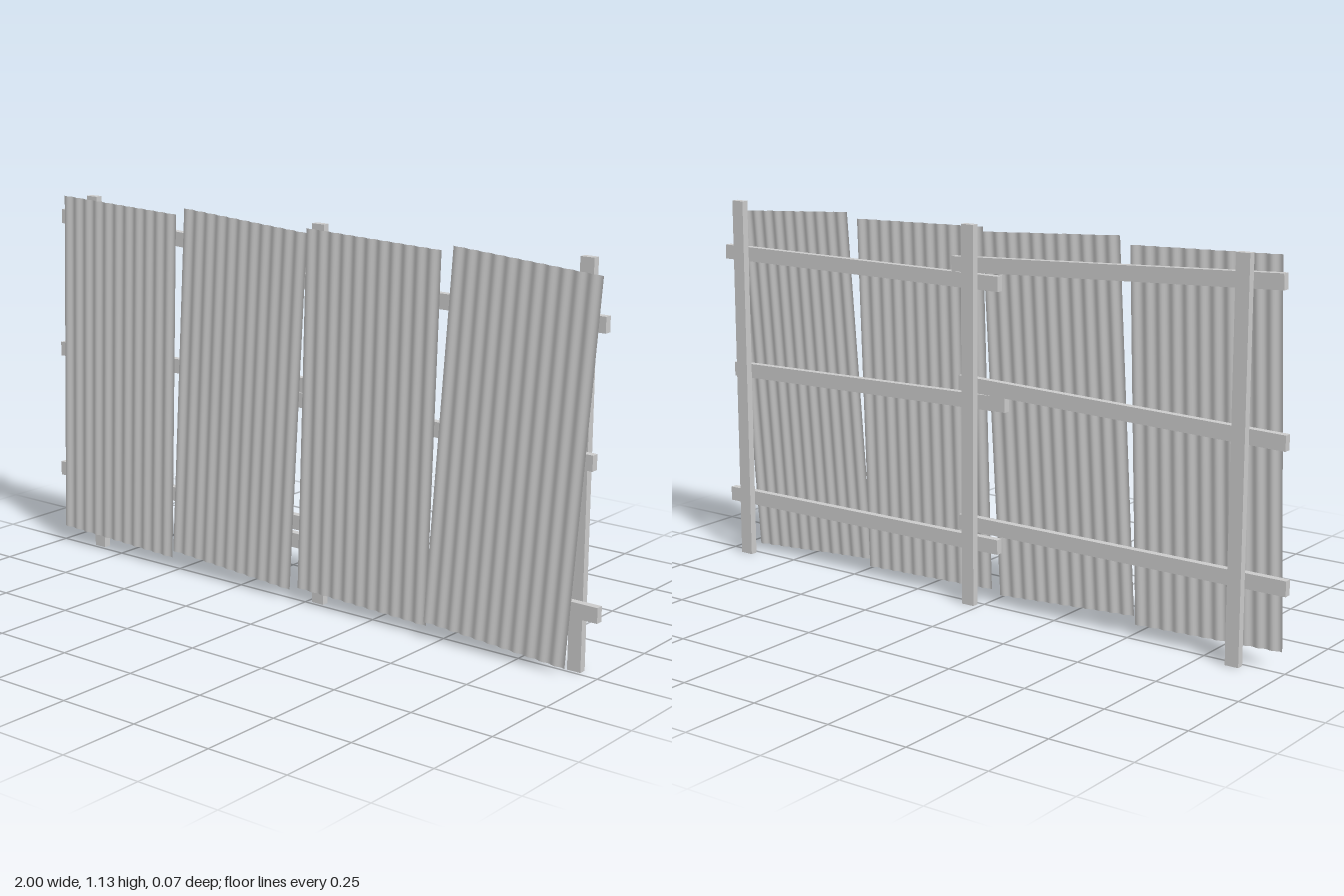
import * as THREE from 'three';

const material = new THREE.MeshStandardMaterial({ color: 0xcccccc });
const sheetMaterial = new THREE.MeshStandardMaterial({ color: 0xcccccc, side: THREE.DoubleSide });

// Upright timber post standing behind the rails
function makePost(x) {
  const post = new THREE.Mesh(new THREE.BoxGeometry(0.042, 1.13, 0.022), material);
  post.position.set(x, 0.565, -0.022);
  post.name = 'post';
  return post;
}

// Horizontal rail running between two end centres
function makeRail([x0, y0, x1, y1]) {
  const length = Math.hypot(x1 - x0, y1 - y0);
  const rail = new THREE.Mesh(new THREE.BoxGeometry(length, 0.044, 0.022), material);
  rail.position.set((x0 + x1) / 2, (y0 + y1) / 2, 0);
  rail.rotation.z = Math.atan2(y1 - y0, x1 - x0);
  rail.name = 'rail';
  return rail;
}

// Corrugated sheet: a plane displaced by a sine wave across its width
function makeSheetGeometry(width, height, waves, amplitude) {
  const geometry = new THREE.PlaneGeometry(width, height, waves * 8, 1);
  const position = geometry.attributes.position;
  for (let i = 0; i < position.count; i++) {
    const u = position.getX(i) / width + 0.5;
    position.setZ(i, amplitude * Math.sin(u * waves * Math.PI * 2));
  }
  geometry.computeVertexNormals();
  return geometry;
}

export function createModel() {
  const fence = new THREE.Group();
  fence.name = 'corrugatedFence';

  for (const x of [-0.855, 0.037, 0.92]) fence.add(makePost(x));

  // Two bays of three rails, overlapping at the middle post
  const rails = [
    [-0.965, 1.061, 0.11, 1.008],
    [-0.985, 0.636, 0.085, 0.662],
    [-1.0, 0.241, 0.085, 0.243],
    [-0.055, 0.964, 0.995, 0.964],
    [-0.08, 0.616, 0.97, 0.593],
    [-0.055, 0.187, 1.0, 0.181],
  ];
  for (const rail of rails) fence.add(makeRail(rail));

  // Crooked sheets: centre x, y, z, lean sideways, lean forwards
  const sheetGeometry = makeSheetGeometry(0.466, 1.075, 11, 0.003);
  const sheets = [
    [-0.73, 0.582, 0.017, -0.034, 0],
    [-0.245, 0.583, 0.018, -0.061, 0],
    [0.234, 0.575, 0.017, -0.031, 0],
    [0.72, 0.57, 0.025, -0.065, -0.0145],
  ];
  for (const [x, y, z, roll, pitch] of sheets) {
    const sheet = new THREE.Mesh(sheetGeometry, sheetMaterial);
    sheet.position.set(x, y, z);
    sheet.rotation.set(pitch, 0, roll);
    sheet.name = 'corrugatedSheet';
    fence.add(sheet);
  }
  return fence;
}
